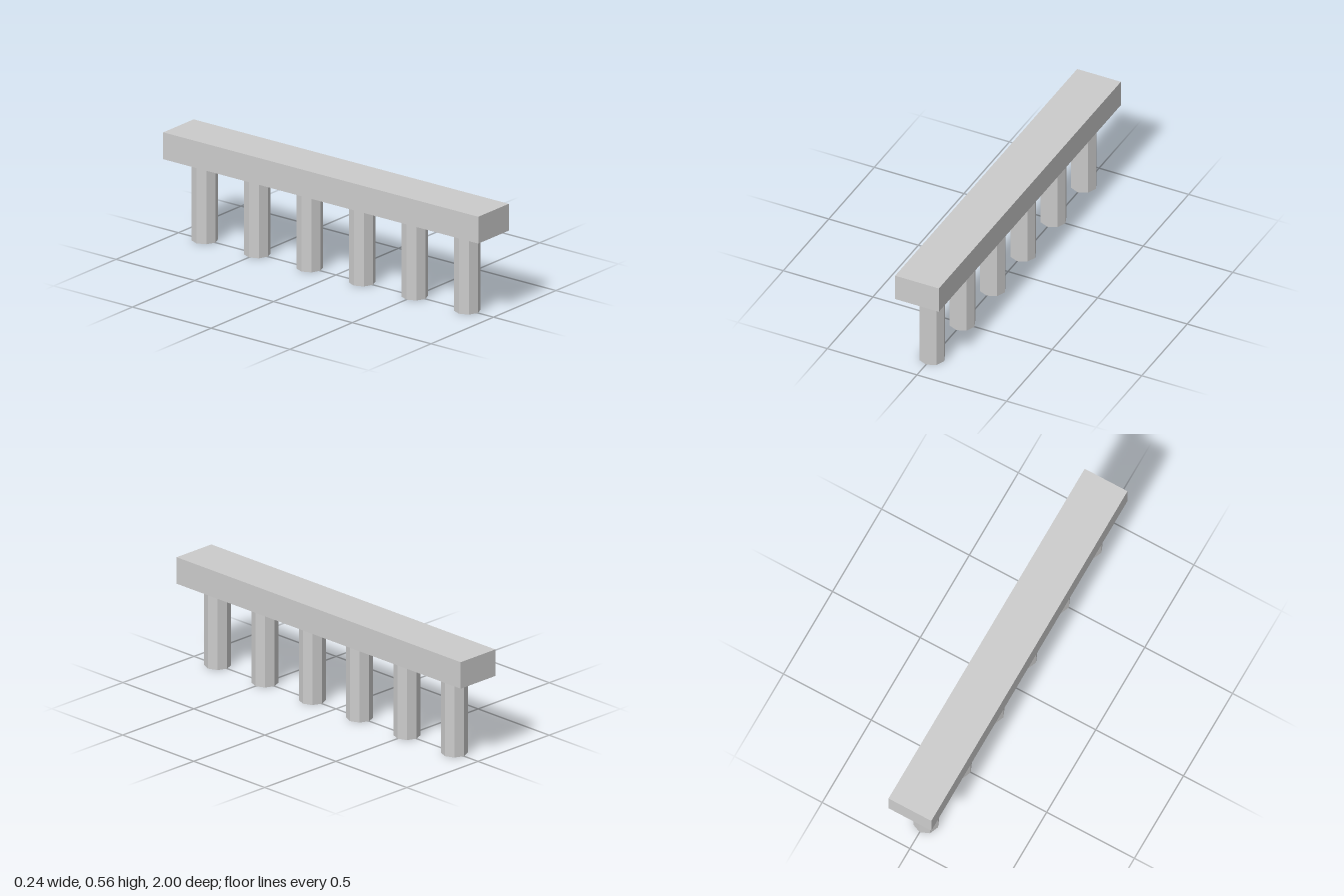
import * as THREE from 'three';

const COLUMN_COUNT = 6;
const COLUMN_HEIGHT = 0.423;
const COLUMN_RADIUS = 0.067;
const BEAM = { width: 0.244, height: 0.142, length: 2 };

export function createModel() {
  const model = new THREE.Group();
  model.name = 'colonnade';

  // Long solid beam resting on the columns
  const beam = new THREE.Mesh(
    new THREE.BoxGeometry(BEAM.width, BEAM.height, BEAM.length),
    new THREE.MeshStandardMaterial({ color: 0xcccccc, flatShading: true })
  );
  beam.name = 'beam';
  beam.position.y = COLUMN_HEIGHT + BEAM.height / 2;
  model.add(beam);

  // Evenly spaced octagonal columns, hollow and open at the ends
  const columnGeometry = new THREE.CylinderGeometry(
    COLUMN_RADIUS, COLUMN_RADIUS, COLUMN_HEIGHT, 8, 1, true
  );
  const columnMaterial = new THREE.MeshStandardMaterial({
    color: 0xcccccc, flatShading: true, side: THREE.DoubleSide
  });
  const spacing = BEAM.length / COLUMN_COUNT;
  for (let i = 0; i < COLUMN_COUNT; i++) {
    const column = new THREE.Mesh(columnGeometry, columnMaterial);
    column.name = `column${i + 1}`;
    column.position.set(0, COLUMN_HEIGHT / 2, (i - (COLUMN_COUNT - 1) / 2) * spacing);
    model.add(column);
  }

  return model;
}
